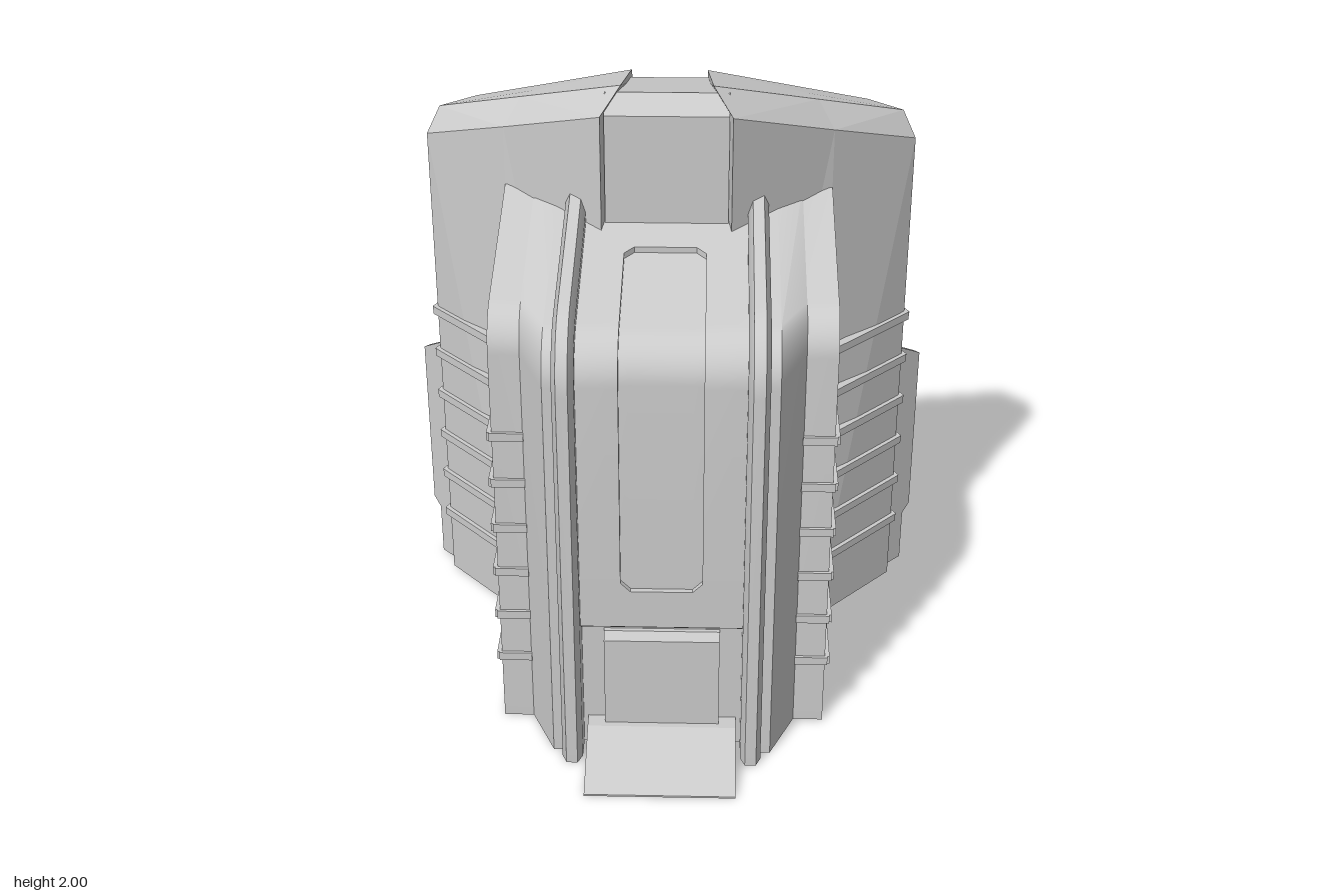
import * as THREE from 'three';
import { toCreasedNormals } from 'three/addons/utils/BufferGeometryUtils.js';

const mat = new THREE.MeshStandardMaterial({ color: 0xcccccc, side: THREE.DoubleSide });
const flat = new THREE.MeshStandardMaterial({ color: 0xcccccc, side: THREE.DoubleSide, flatShading: true });

function add(parent, name, geo, material = flat) {
  const m = new THREE.Mesh(geo, material);
  m.name = name;
  parent.add(m);
  return m;
}

// Skin a row of equally long point lists [x, y, z]
function loft(sections) {
  const n = sections[0].length, idx = [];
  for (let i = 0; i < sections.length - 1; i++)
    for (let j = 0; j < n - 1; j++) {
      const a = i * n + j, b = a + n;
      idx.push(a, b, b + 1, a, b + 1, a + 1);
    }
  const g = new THREE.BufferGeometry();
  g.setAttribute('position', new THREE.Float32BufferAttribute(sections.flat(2), 3));
  g.setIndex(idx);
  return toCreasedNormals(g, 0.45);
}

// Extrude a [z, y] outline across x, centred on x = 0
function across(pts, width) {
  const g = new THREE.ExtrudeGeometry(new THREE.Shape(pts.map(p => new THREE.Vector2(...p))),
    { depth: width, bevelEnabled: false });
  return g.translate(0, 0, -width / 2).rotateY(-Math.PI / 2);
}

// Side profile [z, y]: vertical front, rounded shoulder, sloping roof
function profile(cz, cy, r, slope, zEnd, yStart = 0) {
  const turn = Math.PI / 2 - slope, pts = [[cz + r, yStart]];
  for (let i = 0; i <= 10; i++) {
    const a = turn * i / 10;
    pts.push([cz + r * Math.cos(a), cy + r * Math.sin(a)]);
  }
  const [z, y] = pts[pts.length - 1];
  pts.push([zEnd, y + (z - zEnd) * Math.tan(slope)]);
  return pts;
}
const core = (off, zEnd, yStart) => profile(0.4, 1.31, 0.155 + off, 0.236, zEnd, yStart);
const shoulder = () => profile(0.24, 1.325, 0.14, 0.284, -0.25);
const at = (x, pts) => pts.map(([z, y]) => [x, y, z]);

// Core section with a sunken run between height yLow and depth zTop
function panelSection(x, depth, yLow, zTop) {
  const end = core(0, -0.2, 0.48), low = core(0, zTop, yLow), sunk = core(-depth, zTop, yLow);
  return at(x, [end[0], low[0], ...sunk, low[low.length - 1], end[end.length - 1]]);
}

// Square bar between two points
function bar(parent, name, a, b) {
  const p = new THREE.Vector3(...a), q = new THREE.Vector3(...b);
  const m = add(parent, name, new THREE.BoxGeometry(0.03, 0.028, p.distanceTo(q) + 0.015));
  m.position.copy(p).lerp(q, 0.5);
  m.lookAt(q);
}

function buildHalf() {
  const half = new THREE.Group();

  // Flank of the front block: core edge, bevel, lower shoulder
  add(half, 'frontFlank', loft([
    at(0.25, core(0, -0.2)), at(0.345, core(0, -0.2)),
    at(0.425, shoulder()), at(0.52, shoulder())]), mat);
  const side = new THREE.Shape([...shoulder(), [-0.25, 0]].map(p => new THREE.Vector2(...p)));
  add(half, 'flankWall', new THREE.ShapeGeometry(side).rotateY(-Math.PI / 2).translate(0.52, 0, 0));

  // Rounded rail framing the front
  const railCut = [[0.25, -0.09], [0.25, 0.03], [0.265, 0.065], [0.3, 0.065], [0.315, 0.03], [0.315, -0.03]];
  const rail = railCut.map(([x, off]) => at(x, core(off, -0.11)));
  add(half, 'frontRail', loft(rail), mat);
  const cap = new THREE.BufferGeometry().setFromPoints(
    rail.map(s => new THREE.Vector3(...s[s.length - 1])));
  cap.setIndex([0, 1, 2, 0, 2, 3, 0, 3, 4, 0, 4, 5]);
  add(half, 'railEnd', cap);

  // Diagonal wing: wall foot, eaves, roof edge, roof
  const foot = [[0.2, 0, 0], [0.52, 0, -0.2], [0.8, 0, -0.5], [0.61, 0, -0.69], [0.12, 0, -0.48]];
  const eaves = [[0.2, 1.93, 0], [0.52, 1.802, -0.262], [0.8, 1.69, -0.5], [0.61, 1.69, -0.69], [0.12, 1.88, -0.48]];
  const ridge = [[0.14, 2, -0.09], [0.47, 1.877, -0.334], [0.76, 1.77, -0.545], [0.65, 1.77, -0.65], [0.12, 1.95, -0.39]];
  const peak = ridge.map(() => [0.43, 1.875, -0.402]);
  const rings = [foot, eaves, ridge, peak].map(r => [...r, r[0]]);
  add(half, 'wing', loft(rings));

  // Rib bands wrapping the flank and wing
  for (let i = 0; i < 6; i++) {
    const y = 0.24 + i * 0.162;
    const path = [[0.52, y, 0.375], [0.52, y, -0.2], [0.8, y, -0.5], [0.61, y + 0.08, -0.69], [0.13, y + 0.22, -0.478]];
    bar(half, 'ribFront', [0.43, y, 0.375], path[0]);
    for (let k = 0; k < 4; k++) bar(half, 'rib', path[k], path[k + 1]);
  }

  // Pod on the wing end: two cheeks and a sunken middle
  const pod = new THREE.Group();
  pod.name = 'wingPod';
  const outline = d => [[-0.03, 0], [0.11 - d, 0], [0.11 - d, 0.19], [0.145 - d, 0.22],
    [0.145 - d, 0.84 - d], [0.05, 0.89 - d], [-0.03, 0.9 - d]];
  for (const s of [-1, 1])
    add(pod, 'podCheek', across(outline(0), 0.026)).position.x = s * 0.087;
  add(pod, 'podMiddle', across(outline(0.014), 0.15));
  pod.position.set(0.705, 0, -0.6);
  pod.rotation.y = Math.PI * 0.75;
  half.add(pod);
  return half;
}

export function createModel() {
  const model = new THREE.Group();
  model.name = 'building';

  for (const s of [1, -1]) {
    const half = buildHalf();
    half.name = s > 0 ? 'leftHalf' : 'rightHalf';
    half.scale.x = s;
    model.add(half);
  }

  // Curved front face with a sunken panel, corners clipped
  const w = 0.125, c = 0.095;
  add(model, 'frontFace', loft([
    panelSection(-0.25, 0, 0.64, 0.11), panelSection(-w, 0, 0.64, 0.11),
    panelSection(-w, 0.018, 0.64, 0.11), panelSection(-c, 0.018, 0.61, 0.08),
    panelSection(c, 0.018, 0.61, 0.08), panelSection(w, 0.018, 0.64, 0.11),
    panelSection(w, 0, 0.64, 0.11), panelSection(0.25, 0, 0.64, 0.11)]), mat);

  // Spine between the wings
  add(model, 'spine', across([[-0.04, 1.4], [-0.04, 1.92], [-0.1, 1.975], [-0.39, 1.925], [-0.44, 1.87],
    [-0.44, 0], [-0.42, 0], [-0.42, 1.4]], 0.38));

  // Entrance recess, lintel, door and ramp
  add(model, 'entranceWall', new THREE.BoxGeometry(0.5, 0.48, 0.01)).position.set(0, 0.24, 0.5);
  add(model, 'lintel', across([[0.495, 0.465], [0.535, 0.465], [0.555, 0.49], [0.495, 0.49]], 0.5));
  add(model, 'door', across([[0.495, 0], [0.54, 0], [0.54, 0.415], [0.52, 0.44], [0.495, 0.44]], 0.36));
  add(model, 'ramp', across([[0.5, 0], [0.78, 0], [0.78, 0.006], [0.56, 0.1], [0.5, 0.1]], 0.47));
  return model;
}
